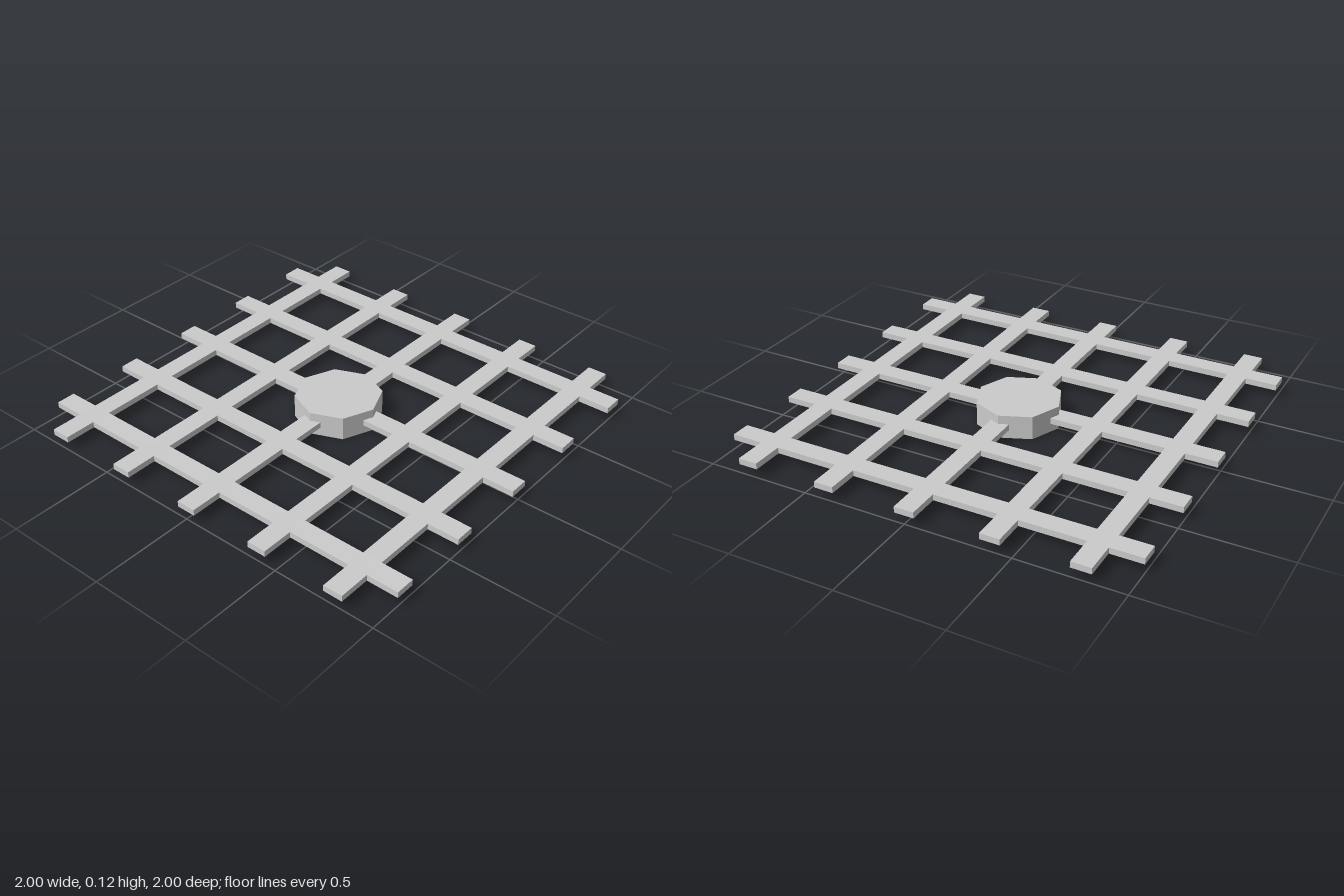
import * as THREE from 'three';

export function createModel() {
  const group = new THREE.Group();
  const material = new THREE.MeshStandardMaterial({ color: 0xcccccc, flatShading: true });
  const hubHeight = 0.115, midY = hubHeight / 2;

  function add(name, geometry, x, z) {
    const mesh = new THREE.Mesh(geometry, material);
    mesh.name = name;
    mesh.position.set(x, midY, z);
    group.add(mesh);
  }

  // Flat lattice: five bars each way, flush with one another
  const barWidth = 0.094, barThickness = 0.029, spacing = 0.4;
  const crossBar = new THREE.BoxGeometry(2, barThickness, barWidth);
  const lengthBar = new THREE.BoxGeometry(barWidth, barThickness, 2);
  for (let i = -2; i <= 2; i++) {
    add('crossBar' + (i + 3), crossBar, 0, i * spacing);
    add('lengthBar' + (i + 3), lengthBar, i * spacing, 0);
  }

  // Octagonal hub with corners on the axes
  add('hub', new THREE.CylinderGeometry(0.206, 0.206, hubHeight, 8), 0, 0);

  return group;
}
